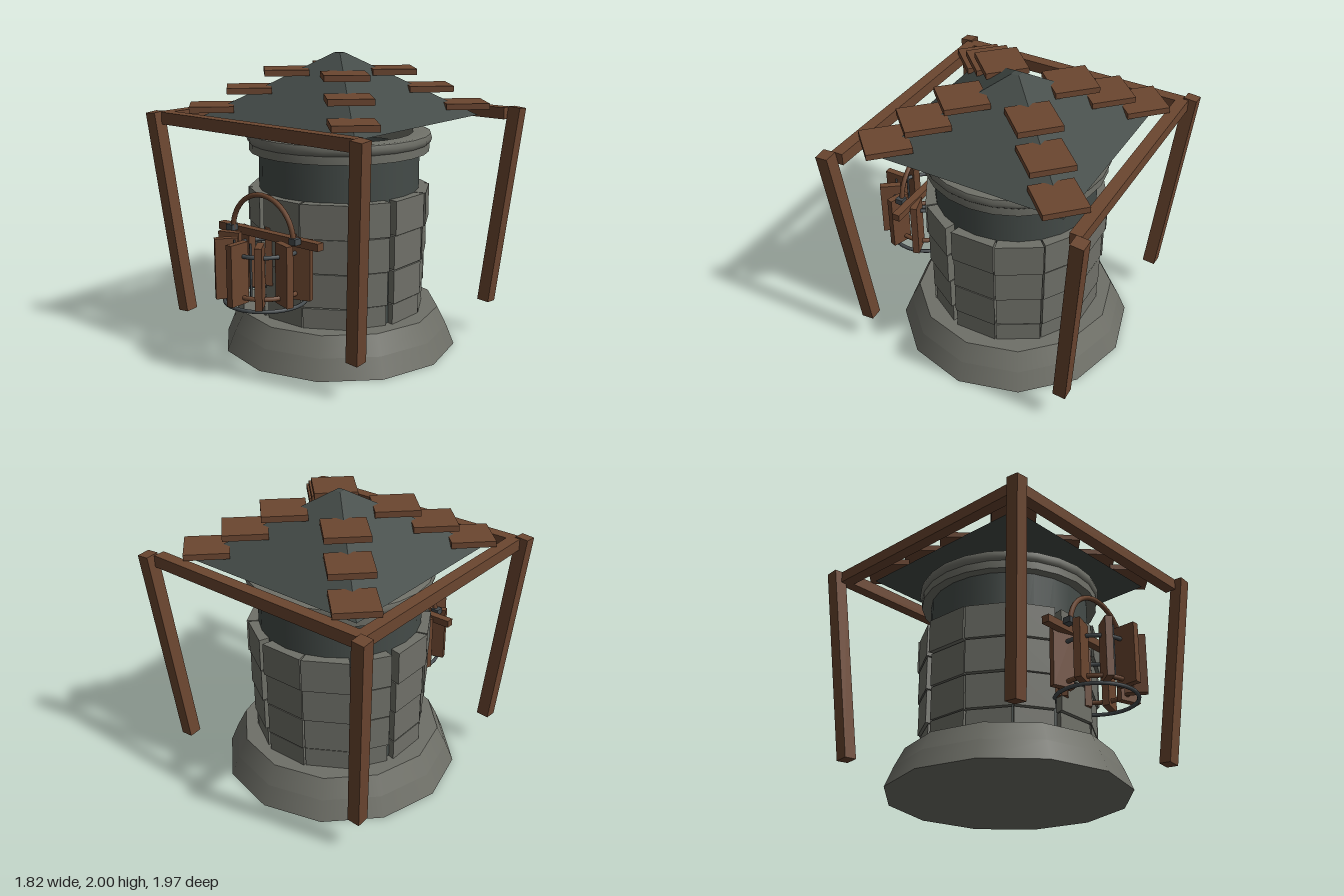
import * as THREE from 'three';
import { toCreasedNormals } from 'three/addons/utils/BufferGeometryUtils.js';

const mat = (name, color, side = THREE.FrontSide) => {
  const m = new THREE.MeshStandardMaterial({ color, side });
  m.name = name;
  return m;
};

export function createModel() {
  const stone = mat('stone', 0x6f7068);
  const slate = mat('dark slate', 0x444b48, THREE.DoubleSide);
  const wood = mat('wood', 0x6b4630);
  const iron = mat('iron', 0x454b4e);

  const model = new THREE.Group();
  model.name = 'well';
  const well = new THREE.Group();
  well.name = 'wellBody';
  well.position.z = -0.075;
  model.add(well);

  const add = (parent, name, geometry, material, x = 0, y = 0, z = 0) => {
    const mesh = new THREE.Mesh(geometry, material);
    mesh.name = name;
    mesh.position.set(x, y, z);
    parent.add(mesh);
    return mesh;
  };
  const box = (parent, name, w, h, d, material, x, y, z) =>
    add(parent, name, new THREE.BoxGeometry(w, h, d), material, x, y, z);

  // Flared twelve-sided footing
  add(well, 'footingLower', new THREE.CylinderGeometry(0.755, 0.81, 0.135, 12), stone, 0, 0.0675);
  add(well, 'footingUpper', new THREE.CylinderGeometry(0.69, 0.755, 0.13, 12), stone, 0, 0.2);

  // Inner shaft, open at the top
  add(well, 'shaft', new THREE.CylinderGeometry(0.545, 0.545, 1.1, 24, 1, true), slate, 0, 0.81);

  // Rim with a rounded lip
  const rimProfile = [
    [0.5, 1.355], [0.61, 1.355], [0.61, 1.41], [0.619, 1.42], [0.627, 1.445],
    [0.619, 1.475], [0.605, 1.48], [0.5, 1.48], [0.5, 1.355],
  ].map(([r, y]) => new THREE.Vector2(r, y));
  add(well, 'rim', toCreasedNormals(new THREE.LatheGeometry(rimProfile, 24), 0.7), stone);

  // Courses of flat-faced blocks
  const blockGeometry = (r, a, b, height) => {
    const corner = (radius, t) => new THREE.Vector2(radius * Math.sin(t), -radius * Math.cos(t));
    const shape = new THREE.Shape([corner(0.5, a), corner(r, a), corner(r, b), corner(0.5, b)]);
    const g = new THREE.ExtrudeGeometry(shape, { depth: height, bevelEnabled: false });
    return g.rotateX(-Math.PI / 2);
  };
  const rows = [[0.26, 0.4, 0.585], [0.408, 0.632, 0.595], [0.64, 0.865, 0.605], [0.873, 1.1, 0.618]];
  rows.forEach(([y0, y1, r], row) => {
    for (let i = 0; i < 12; i++) {
      const wobble = 0.006 * Math.sin(i * 2.3 + row * 1.7);
      const start = THREE.MathUtils.degToRad(-14 + 30 * i);
      const gap = THREE.MathUtils.degToRad(i % 3 === 2 ? 4.5 : 1);
      add(well, 'wallBlock', blockGeometry(r + wobble, start, start + Math.PI / 6 - gap, y1 - y0), stone, 0, y0);
    }
  });

  // Leaning corner posts
  for (const sx of [-1, 1]) for (const sz of [-1, 1]) {
    const low = new THREE.Vector3(sx * 0.745, 0.24, sz * 0.745);
    const high = new THREE.Vector3(sx * 0.865, 1.62, sz * 0.865);
    const lean = high.clone().sub(low);
    const g = new THREE.BoxGeometry(0.088, lean.length(), 0.088);
    const post = add(well, 'post', g, wood);
    post.position.copy(low).add(high).multiplyScalar(0.5);
    post.quaternion.setFromUnitVectors(new THREE.Vector3(0, 1, 0), lean.normalize());
  }

  // Three top beams, one side left open
  box(well, 'frontBeam', 1.63, 0.08, 0.08, wood, 0, 1.58, 0.815);
  box(well, 'backBeam', 1.63, 0.08, 0.08, wood, 0, 1.58, -0.815);
  box(well, 'sideBeam', 0.08, 0.08, 1.63, wood, -0.815, 1.58, 0);

  // Pyramid roof with a tiny flat tip
  const roof = new THREE.CylinderGeometry(0.025 * Math.SQRT2, 0.67 * Math.SQRT2, 0.43, 4).toNonIndexed();
  roof.rotateY(Math.PI / 4);
  roof.computeVertexNormals();
  add(well, 'roof', roof, slate, 0, 1.785);

  // Stepped shingles along each roof ridge
  for (const sx of [-1, 1]) for (const sz of [-1, 1]) {
    [[0.6, 1.646], [0.425, 1.765], [0.25, 1.88]].forEach(([d, y]) => {
      const tile = box(well, 'shingle', 0.288, 0.04, 0.292, wood, sx * d, y, sz * d);
      tile.rotation.y = sx * sz * Math.PI / 4;
    });
  }

  // Bucket of radial slats
  const bucket = new THREE.Group();
  bucket.name = 'bucket';
  bucket.position.z = 0.665;
  model.add(bucket);
  for (let i = 0; i < 10; i++) {
    const a = i * Math.PI / 5;
    const slat = box(bucket, 'slat', 0.046, 0.395, 0.147, wood, 0.247 * Math.sin(a), 0.7025, 0.247 * Math.cos(a));
    slat.rotation.y = a;
  }

  // Hoops and thin rods
  const hoop = (name, r, y, tube, material) => {
    add(bucket, name, new THREE.TorusGeometry(r, tube, 8, 32).rotateX(Math.PI / 2), material, 0, y);
  };
  hoop('upperHoop', 0.22, 0.813, 0.014, iron);
  hoop('lowerHoop', 0.22, 0.545, 0.016, wood);
  hoop('bottomHoop', 0.262, 0.478, 0.013, iron);
  for (const s of [-1, 1]) {
    add(bucket, 'rod', new THREE.CylinderGeometry(0.008, 0.008, 0.37, 6), iron, s * 0.07, 0.715, 0.2);
    box(bucket, 'handleBracket', 0.055, 0.04, 0.055, iron, s * 0.273, 0.912, 0.02);
  }

  // Crossbar and arched handle
  box(bucket, 'crossbar', 0.86, 0.05, 0.055, wood, 0, 0.89, -0.04);
  add(bucket, 'handle', new THREE.TorusGeometry(0.262, 0.017, 8, 24, Math.PI), wood, 0, 0.9, 0.02);

  return model;
}
